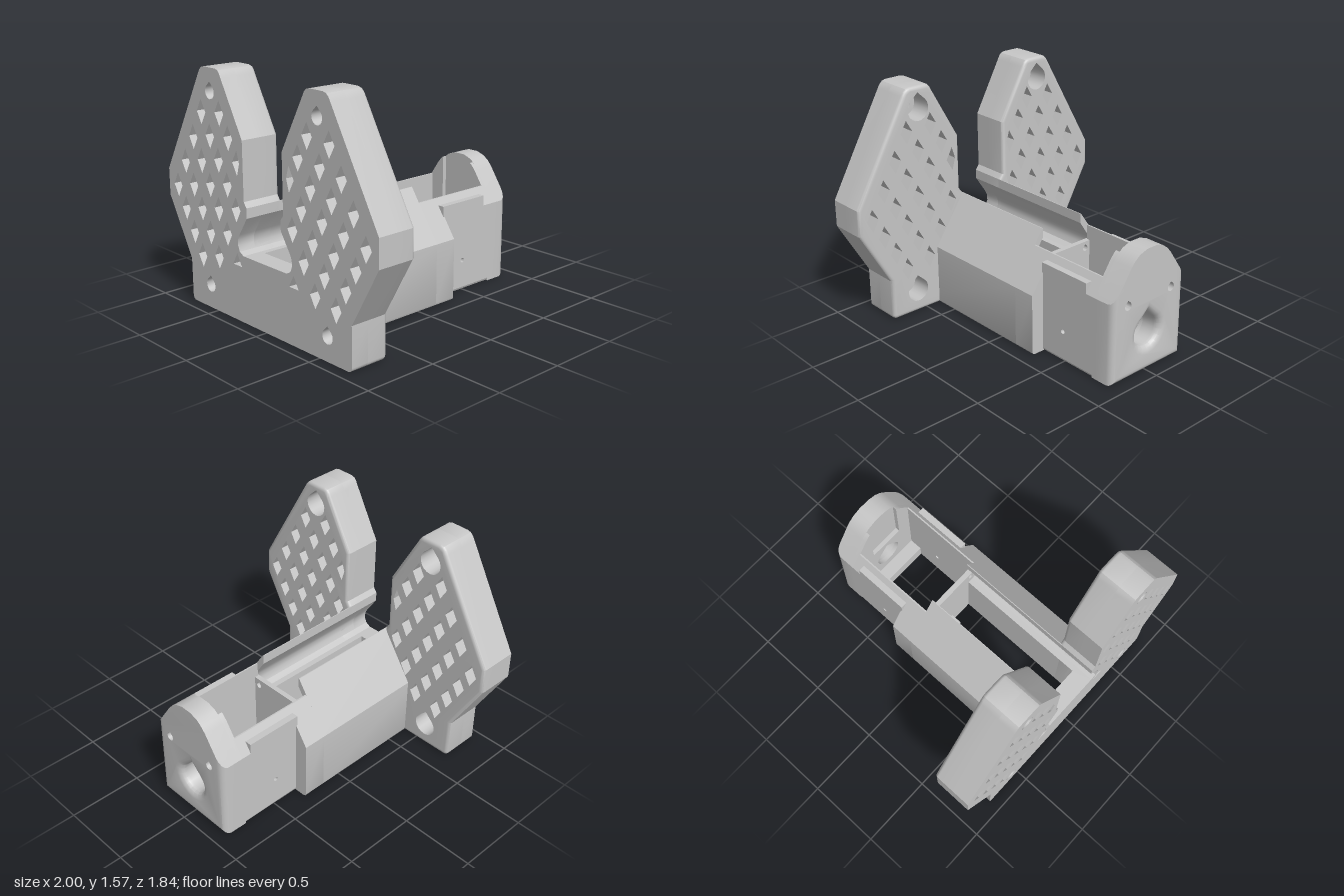
import * as THREE from 'three';
import { toCreasedNormals } from 'three/addons/utils/BufferGeometryUtils.js';

const grey = new THREE.MeshStandardMaterial({ color: 0xc6c6c6 });
grey.name = 'plain grey';

const V = (x, y) => new THREE.Vector2(x, y);
const loop = pts => pts.map(([x, y]) => V(x, y));
const mirrorX = (pts, s) => pts.map(([x, y]) => [x * s, y]);
const key = (x, y) => x.toFixed(4) + ',' + y.toFixed(4);

// Closed loop: circle with a pointed top
function teardrop(cx, cy, r) {
  const pts = [];
  for (let i = 0; i <= 14; i++) {
    const a = Math.PI * (0.75 + (i / 14) * 1.5);
    pts.push([cx + r * Math.cos(a), cy + r * Math.sin(a)]);
  }
  pts.push([cx, cy + r * 1.38]);
  return pts;
}

// Mitred directions that point from a counter-clockwise loop to its inside;
// beside an edge that stays sharp, the corner slides along that edge
function addInsets(map, p, sign, keep) {
  p.forEach((c, i) => {
    if (!keep(c)) return;
    const prev = p[(i + p.length - 1) % p.length], next = p[(i + 1) % p.length];
    const a = c.clone().sub(prev).normalize(), b = next.clone().sub(c).normalize();
    const na = V(-a.y, a.x), nb = V(-b.y, b.x);
    let d = na.clone().add(nb).normalize();
    d.divideScalar(Math.max(0.6, d.dot(na)));
    if (!keep(next)) d = b.clone().divideScalar(b.dot(na));
    else if (!keep(prev)) d = a.clone().divideScalar(a.dot(nb));
    map.set(key(c.x, c.y), d.multiplyScalar(sign));
  });
}

// Outline extruded from z0 to z1; the z0 edge can be rounded by radius b
function solid(name, outline, z0, z1, { holes = [], b = 0, roundHoles = [], keep = () => true } = {}) {
  const points = loop(outline);
  if (THREE.ShapeUtils.isClockWise(points)) points.reverse();
  const shape = new THREE.Shape(points);
  for (const h of [...holes, ...roundHoles]) shape.holes.push(new THREE.Path(loop(h)));
  const steps = b ? 5 : 1;
  const geo = new THREE.ExtrudeGeometry(shape, { depth: steps, steps, bevelEnabled: false });
  const insets = new Map();
  addInsets(insets, points, 1, keep);
  roundHoles.forEach(h => addInsets(insets, loop(h), -1, () => true));
  const pos = geo.attributes.position;
  for (let i = 0; i < pos.count; i++) {
    const x = pos.getX(i), y = pos.getY(i), layer = Math.round(pos.getZ(i));
    if (layer === steps) { pos.setZ(i, z1); continue; }
    const t = (layer / 4) * Math.PI / 2;
    pos.setZ(i, z0 + b * (1 - Math.cos(t)));
    const d = insets.get(key(x, y));
    if (d) {
      const k = b * (1 - Math.sin(t));
      pos.setXY(i, x + d.x * k, y + d.y * k);
    }
  }
  const mesh = new THREE.Mesh(toCreasedNormals(geo, 0.45), grey);
  mesh.name = name;
  return mesh;
}

function box(name, x0, x1, y0, y1, z0, z1) {
  const mesh = new THREE.Mesh(new THREE.BoxGeometry(x1 - x0, y1 - y0, z1 - z0), grey);
  mesh.position.set((x0 + x1) / 2, (y0 + y1) / 2, (z0 + z1) / 2);
  mesh.name = name;
  return mesh;
}

// Slanted lattice of diamond openings: [x, y, count] per column
function diamonds() {
  const columns = [[0.415, 1.30, 3], [0.604, 1.283, 5], [0.702, 1.108, 5], [0.8, 0.933, 5], [0.898, 0.758, 4]];
  const out = [];
  for (const [x0, y0, n] of columns) {
    for (let i = 0; i < n; i++) {
      const x = x0 - 0.083 * i, y = y0 - 0.14 * i;
      out.push([[x + 0.046, y], [x, y + 0.08], [Math.max(0.225, x - 0.046), y], [x, y - 0.08]]);
    }
  }
  return out;
}

// Keyed channel between the two sides, from top to floor
const channel = [[0.165, 0.69], [0.245, 0.57], [0.261, 0.535], [0.262, 0.495], [0.247, 0.46], [0.21, 0.44], [0.17, 0.44]];

export function createModel() {
  const g = new THREE.Group();
  g.name = 'mount';

  const wing = [[0.17, 0], [0.75, 0], [0.761, 0.002], [0.771, 0.009], [0.778, 0.019], [0.78, 0.03],
    [0.78, 0.285], [1, 0.67], [1, 0.85], [0.62, 1.52], [0.605, 1.545], [0.585, 1.563], [0.56, 1.57],
    [0.44, 1.57], [0.415, 1.563], [0.398, 1.545], [0.385, 1.52],
    [0.19, 1.17], [0.19, 0.79], [0.165, 0.755], ...channel];
  const arm = [[0.17, 0], [0.38, 0], [0.394, 0.006], [0.4, 0.02], [0.4, 0.42], [0.17, 0.755], [0.165, 0.755], ...channel];
  const shoulder = [[0.225, 0], [0.38, 0], [0.394, 0.006], [0.4, 0.02], [0.4, 0.42], [0.235, 0.66], [0.225, 0.66]];
  const foot = [[0.225, 0], [0.29, 0], [0.304, 0.006], [0.31, 0.02], [0.225, 0.02]];
  const wallTop = [[0.225, 0.55], [0.31, 0.55], [0.235, 0.66], [0.225, 0.66]];
  const pin = [];
  for (let i = 0; i < 16; i++) {
    const a = i / 16 * Math.PI * 2;
    pin.push([0.49 + 0.016 * Math.cos(a), 0.21 + 0.016 * Math.sin(a)]);
  }

  for (const s of [1, -1]) {
    const side = s > 0 ? 'left' : 'right';
    const m = pts => mirrorX(pts, s);

    // Perforated plate: wide screw bores behind, narrow ones in front
    const screws = r => [teardrop(0.505, 1.42, r), teardrop(0.572, 0.155, r)];
    const lattice = diamonds();
    const mark = [[0.23, 0.365], [0.32, 0.365], [0.275, 0.445]];
    g.add(solid(side + 'PlateBack', m(wing), 0.65, 0.8, { holes: [...lattice, ...screws(0.08)].map(m), b: 0.025 }));
    g.add(solid(side + 'PlateFront', m(wing), 0.8, 0.92, { holes: [...lattice, ...screws(0.046), mark].map(m) }));

    // Beam and its lowered end
    g.add(solid(side + 'Beam', m(arm), -0.15, 0.77));
    g.add(solid(side + 'BeamEnd', m(shoulder), -0.31, -0.15));

    // Rear box side wall with a pin hole, rounded foot and sloped top
    const wall = solid(side + 'BoxWall', [[0.3, 0.02], [0.76, 0.02], [0.76, 0.55], [0.3, 0.55]], 0, 0.085, { holes: [pin] });
    wall.rotation.y = Math.PI / 2;
    wall.position.x = s > 0 ? 0.225 : -0.31;
    g.add(wall);
    g.add(solid(side + 'BoxFoot', m(foot), -0.76, -0.3));
    g.add(solid(side + 'BoxWallTop', m(wallTop), -0.76, -0.3));
    g.add(box(side + 'Rail', s > 0 ? 0.265 : -0.31, s > 0 ? 0.31 : -0.265, 0.5, 0.62, -0.69, -0.3));
  }

  // Sill joining both plate halves
  g.add(box('frontSill', -0.17, 0.17, 0, 0.44, 0.79, 0.92));

  // Cross wall between the channel and the rear pocket
  const screwHoles = r => [-1, 1].map(s => teardrop(0.187 * s, 0.512, r));
  g.add(solid('crossWall', [[-0.27, 0], [0.27, 0], [0.27, 0.56], [-0.27, 0.56]], -0.175, -0.14, { holes: screwHoles(0.02) }));
  g.add(box('pocketFrontLedge', -0.23, 0.23, 0, 0.1, -0.26, -0.17));
  g.add(box('pocketRearLedge', -0.23, 0.23, 0, 0.1, -0.76, -0.66));

  // Cable clip on the cross wall
  for (const [x0, x1, lip0, lip1] of [[-0.17, -0.12, -0.17, -0.1], [-0.06, 0, -0.08, 0]]) {
    g.add(box('clipRoot', x0, x1, 0.03, 0.12, -0.15, -0.085));
    g.add(box('clipLip', lip0, lip1, 0.03, 0.12, -0.085, -0.062));
  }

  // Domed rear wall: rounded cable hole and two blind screw holes
  const half = [[0.31, 0], [0.31, 0.55], [0.17, 0.755], [0.14, 0.79], [0.1, 0.82], [0.04, 0.84]];
  const cable = teardrop(0, 0.27, 0.1);
  g.add(solid('rearWall', [...half, ...mirrorX(half, -1).reverse()], -0.92, -0.78,
    { holes: screwHoles(0.028), roundHoles: [cable], b: 0.05, keep: p => p.y < 0.6 }));

  // Lower rim in front of the dome, open in the middle
  const rim = [...half.slice(0, 4), [0.125, 0.8], [0.125, 0.45]];
  g.add(solid('rearRim', [...rim, ...mirrorX(rim, -1).reverse()], -0.78, -0.75, { holes: [cable] }));

  return g;
}
